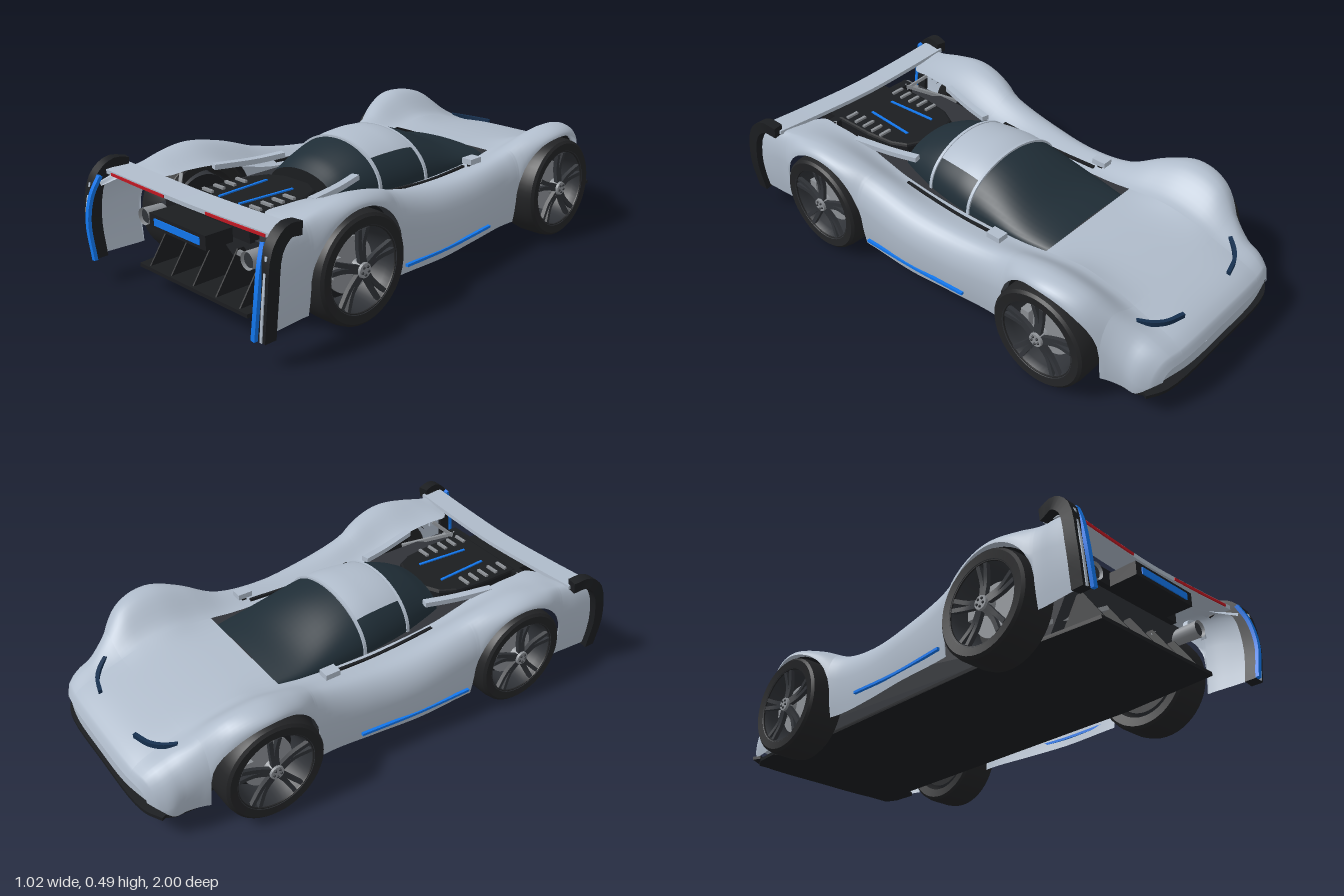
import * as THREE from 'three';
import { toCreasedNormals } from 'three/addons/utils/BufferGeometryUtils.js';

const mat = (color, side = THREE.FrontSide) => new THREE.MeshStandardMaterial({ color, side });
const PAINT = mat(0xb0bccb, THREE.DoubleSide);
const GLASS = mat(0x1f2d36, THREE.DoubleSide);
const BLACK = mat(0x1b1d20, THREE.DoubleSide);
const DARK = mat(0x303338, THREE.DoubleSide);
const RUBBER = mat(0x222325);
const METAL = mat(0x8b8f94, THREE.DoubleSide);
const BLUE = mat(0x1277ee);
const RED = mat(0xc01822);
const NAVY = mat(0x16304f);

const V = (p) => new THREE.Vector3(...p);

// Surface through rows of points
function loft(rows) {
  const n = rows[0].length, idx = [];
  for (let j = 0; j < rows.length - 1; j++) for (let i = 0; i < n - 1; i++) {
    const a = j * n + i, c = a + n;
    idx.push(a, a + 1, c, a + 1, c + 1, c);
  }
  const g = new THREE.BufferGeometry();
  g.setAttribute('position', new THREE.Float32BufferAttribute(rows.flat(2), 3));
  g.setIndex(idx);
  g.computeVertexNormals();
  return g;
}

// Rectangular bar along a smooth path; w is measured along ref, h across it
function bar(points, w, h, ref = [1, 0, 0], steps = 14) {
  const curve = new THREE.CatmullRomCurve3(points.map(V));
  const n = points.length > 2 ? steps : 1, rows = [];
  for (let j = 0; j <= n; j++) {
    const p = curve.getPoint(j / n), t = curve.getTangent(j / n);
    const s = V(ref).addScaledVector(t, -V(ref).dot(t)).normalize();
    const u = t.clone().cross(s);
    rows.push([[1, 1], [-1, 1], [-1, -1], [1, -1], [1, 1]].map(([a, b]) =>
      p.clone().addScaledVector(s, a * w / 2).addScaledVector(u, b * h / 2).toArray()));
  }
  const cap = (u) => Array(5).fill(curve.getPoint(u).toArray());
  return toCreasedNormals(loft([cap(0), ...rows, cap(1)]), 0.6);
}

// Smooth interpolation of table rows whose first entry is z
function sample(keys, z) {
  let k = 0;
  while (k < keys.length - 2 && z > keys[k + 1][0]) k++;
  const a = keys[k], b = keys[k + 1], p = keys[Math.max(k - 1, 0)], q = keys[Math.min(k + 2, keys.length - 1)];
  const d = b[0] - a[0], t = (z - a[0]) / d;
  return a.map((v, i) => {
    const m0 = (b[i] - p[i]) / (b[0] - p[0]) * d, m1 = (q[i] - v) / (q[0] - a[0]) * d;
    return v + t * m0 + t * t * (3 * (b[i] - v) - 2 * m0 - m1) + t * t * t * (2 * (v - b[i]) + m0 + m1);
  });
}

// Body stations: z, inner x, inner y, ridge x, ridge y, outer x, lower y
const BODY = [
  [-1, 0.24, 0.2, 0.28, 0.2, 0.33, 0.155], [-0.985, 0.24, 0.235, 0.295, 0.237, 0.365, 0.14],
  [-0.94, 0.24, 0.265, 0.305, 0.268, 0.392, 0.102], [-0.86, 0.24, 0.29, 0.315, 0.3, 0.398, 0.1],
  [-0.8, 0.24, 0.308, 0.35, 0.34, 0.415, 0.1], [-0.7, 0.24, 0.34, 0.395, 0.425, 0.467, 0.1],
  [-0.565, 0.24, 0.362, 0.41, 0.45, 0.485, 0.1], [-0.44, 0.245, 0.35, 0.395, 0.42, 0.46, 0.1],
  [-0.3, 0.25, 0.33, 0.365, 0.36, 0.43, 0.095], [-0.1, 0.255, 0.32, 0.36, 0.335, 0.44, 0.09],
  [0.1, 0.255, 0.32, 0.37, 0.345, 0.46, 0.09], [0.3, 0.25, 0.33, 0.38, 0.385, 0.465, 0.095],
  [0.42, 0.25, 0.355, 0.405, 0.425, 0.475, 0.1], [0.565, 0.255, 0.395, 0.425, 0.45, 0.485, 0.1],
  [0.7, 0.26, 0.405, 0.43, 0.435, 0.485, 0.1], [0.79, 0.27, 0.402, 0.43, 0.415, 0.475, 0.1],
  [0.86, 0.4, 0.39, 0.44, 0.405, 0.478, 0.1], [0.94, 0.45, 0.36, 0.46, 0.375, 0.48, 0.1]];
const AXLES = [-0.565, 0.56], AXLE_Y = 0.2, ARCH = 0.215;
const noseZ = (x, z) => z + 0.04 * Math.min(1, Math.max(0, (-0.85 - z) / 0.15)) * (x / 0.38) ** 4;

// Shared cross-section positions, dense at the nose and at the arch edges
const STATIONS = [-0.997, -0.992, -0.986, ...[...Array(98).keys()].map((i) => -1 + i * 0.02)];
for (const c of AXLES) for (const e of [-1, 1]) for (const d of [-0.001, 0, 0.008]) STATIONS.push(c + e * (ARCH - d));
STATIONS.sort((a, b) => a - b);

// One body side with both wheel arches cut into its lower edge
function fender(s) {
  return loft(STATIONS.map((z) => {
    let [, xi, yi, xr, top, xo, yb] = sample(BODY, z);
    for (const c of AXLES) {
      const d = ARCH ** 2 - (z - c) ** 2;
      if (d >= -1e-9) yb = Math.min(AXLE_Y + Math.sqrt(Math.max(d, 0)), top - 0.02);
    }
    const ym = Math.max(yb, top - 0.12), pts = [];
    for (let i = 0; i <= 8; i++) {
      const t = i / 8;
      pts.push([xi + (xr - xi) * t, yi + (top - yi) * t * t * (3 - 2 * t)]);
    }
    for (let i = 1; i <= 8; i++) {
      const a = i * Math.PI / 16;
      pts.push([xr + (xo - xr) * Math.sin(a), ym + (top - ym) * Math.cos(a)]);
    }
    for (let i = 1; i <= 4; i++) pts.push([xo - 0.1 * (ym - yb) * (i / 4) ** 2, ym + (yb - ym) * i / 4]);
    const row = pts.map(([x, y]) => [s * x, y, noseZ(x, z)]);
    return s > 0 ? row.reverse() : row;
  }));
}

// Hood between the fenders; table gives the centre-line height
const HOOD = [[-1, 0.203], [-0.985, 0.24], [-0.94, 0.272], [-0.86, 0.297], [-0.7, 0.325], [-0.55, 0.34], [-0.38, 0.345]];
function hood() {
  return loft(STATIONS.filter((z) => z < -0.38).map((z) => {
    const [, xi, yi] = sample(BODY, z), mid = sample(HOOD, z)[1];
    return [...Array(17).keys()].map((i) => {
      const u = 1 - i / 8;
      return [u * xi, mid + (yi - mid) * u ** 4, noseZ(u * xi, z)];
    });
  }));
}

// Wheel-well lining over a tyre, from angle a0 (0 = towards the tail) forwards
function archLiner(s, zc, a0) {
  return loft([...Array(21).keys()].map((i) => {
    const a = a0 + (Math.PI - a0) * i / 20;
    return [0.34, 0.462].map((x) => [s * Math.min(x, x > 0.4 ? 0.462 - 0.06 * Math.cos(a) ** 2 : x),
      AXLE_Y + 0.212 * Math.sin(a), zc + 0.212 * Math.cos(a)]);
  }));
}

// Canopy stations: z, half width, crown y
const CANOPY = [[-0.4, 0.222, 0.352], [-0.26, 0.243, 0.385], [-0.1, 0.248, 0.452], [0, 0.247, 0.48],
  [0.07, 0.242, 0.486], [0.2, 0.222, 0.474], [0.32, 0.19, 0.435], [0.39, 0.168, 0.395]];
const canopyPoint = (z, a, lift = 0) => {
  const [, w, top] = sample(CANOPY, z);
  return [(w + lift) * Math.cos(a), 0.315 + (top - 0.315 + lift) * Math.sin(a), z];
};
function canopy(z0, z1, a0, a1, lift = 0) {
  return loft([...Array(17).keys()].map((j) => [...Array(25).keys()].map((i) =>
    canopyPoint(z0 + (z1 - z0) * j / 16, a0 + (a1 - a0) * i / 24, lift))));
}

// Flat outline pushed out along its third axis
function plate(outline, depth, bevel = 0) {
  return new THREE.ExtrudeGeometry(new THREE.Shape(outline.map((p) => new THREE.Vector2(...p))),
    { depth, bevelEnabled: bevel > 0, bevelSize: bevel, bevelThickness: bevel, bevelSegments: 2 });
}
const mirrored = (half) => [...half, ...half.map(([x, z]) => [-x, z]).reverse()];

function wheel() {
  const g = new THREE.Group();
  const put = (geo, m, name) => { const o = new THREE.Mesh(geo, m); o.name = name; g.add(o); return o; };
  const lathe = (pts) => new THREE.LatheGeometry(pts.map((p) => new THREE.Vector2(...p)), 48).rotateZ(-Math.PI / 2);
  put(toCreasedNormals(lathe([[0.15, -0.07], [0.185, -0.075], [0.195, -0.066], [0.2, -0.04], [0.2, 0.04],
    [0.195, 0.066], [0.185, 0.075], [0.15, 0.07], [0.145, 0.05], [0.145, -0.05], [0.15, -0.07]]), 0.5), RUBBER, 'tyre');
  put(lathe([[0.13, -0.06], [0.138, 0.04], [0.15, 0.068], [0.155, 0.072]]), DARK, 'rim');
  put(new THREE.CylinderGeometry(0.1, 0.1, 0.012, 40).rotateZ(Math.PI / 2), METAL, 'brakeDisc');
  put(new THREE.CylinderGeometry(0.13, 0.13, 0.01, 40).rotateZ(Math.PI / 2).translate(-0.05, 0, 0), BLACK, 'innerRim');
  put(new THREE.BoxGeometry(0.04, 0.07, 0.035).translate(0.012, 0.02, 0.085), METAL, 'caliper');
  for (let i = 0; i < 5; i++) for (const e of [-1, 1])
    put(bar([[0.06, 0.02, e * 0.007], [0.052, 0.08, e * 0.009], [0.062, 0.147, e * 0.018]], 0.016, 0.016, [1, 0, 0], 6),
      DARK, 'spoke').rotation.x = i * Math.PI * 0.4;
  put(new THREE.CylinderGeometry(0.026, 0.034, 0.04, 20).rotateZ(-Math.PI / 2).translate(0.056, 0, 0), METAL, 'hub');
  for (let i = 0; i < 5; i++) {
    const a = i * Math.PI * 0.4 + 0.6;
    put(new THREE.SphereGeometry(0.005, 8, 6).translate(0.077, 0.015 * Math.cos(a), 0.015 * Math.sin(a)), DARK, 'wheelNut');
  }
  return g;
}

export function createModel() {
  const car = new THREE.Group();
  car.name = 'sportsCar';
  const add = (name, geo, m) => { const o = new THREE.Mesh(geo, m); o.name = name; car.add(o); };
  const box = (name, m, w, h, d, x, y, z) => add(name, new THREE.BoxGeometry(w, h, d).translate(x, y, z), m);

  // Straight flat floor and inner tub
  add('floor', plate(mirrored([[0.35, -0.95], [0.375, -0.9], [0.38, -0.8], [0.335, -0.77], [0.335, 0.5], [0.3, 0.9]]), 0.014)
    .rotateX(Math.PI / 2).translate(0, 0.095, 0), BLACK);
  add('innerTub', plate([[-0.93, 0.095], [-0.93, 0.2], [-0.8, 0.25], [-0.4, 0.3], [0.8, 0.3], [0.68, 0.095]], 0.6)
    .rotateY(-Math.PI / 2).translate(0.3, 0, 0), DARK);

  // Nose, splitter and hood
  add('hood', hood(), PAINT);
  add('noseLip', bar([[-0.325, 0.178, -0.95], [-0.2, 0.178, -0.973], [0, 0.178, -0.977], [0.2, 0.178, -0.973],
    [0.325, 0.178, -0.95]], 0.044, 0.046, [0, 0, 1], 24), PAINT);
  add('splitter', bar([[-0.375, 0.106, -0.935], [-0.3, 0.106, -0.97], [0, 0.106, -0.98], [0.3, 0.106, -0.97],
    [0.375, 0.106, -0.935]], 0.036, 0.014, [0, 0, 1], 24), BLACK);

  // Canopy
  const H = Math.PI, A = 0.76;
  add('windshield', canopy(-0.4, -0.02, 0, H), GLASS);
  add('roof', canopy(-0.02, 0.2, A, H - A, 0.003), PAINT);
  add('sideWindow', canopy(-0.02, 0.2, 0, A), GLASS);
  add('sideWindow', canopy(-0.02, 0.2, H - A, H), GLASS);
  add('rearWindow', canopy(0.2, 0.39, 0, H), GLASS);
  for (const z of [-0.02, 0.2])
    add('roofHoop', bar([...Array(13).keys()].map((i) => canopyPoint(z, H * i / 12, 0.003)), 0.012, 0.008, [0, 0, 1], 30), PAINT);
  add('rearBulkhead', loft([[...Array(17).keys()].map((i) => canopyPoint(0.39, H * i / 16)), Array(17).fill([0, 0.3, 0.39])]), BLACK);

  // Engine cover
  add('engineCover', plate(mirrored([[0.06, 0.41], [0.12, 0.44], [0.15, 0.5], [0.165, 0.62], [0.165, 0.79]]), 0.04, 0.01)
    .rotateX(Math.PI / 2).translate(0, 0.35, 0), BLACK);
  box('rearFascia', BLACK, 0.46, 0.06, 0.04, 0, 0.325, 0.8);
  box('lightHousing', BLACK, 0.31, 0.052, 0.11, 0, 0.31, 0.885);
  box('rearLight', BLUE, 0.25, 0.026, 0.012, 0, 0.31, 0.938);

  // Diffuser fins
  for (let i = -2; i <= 2; i++)
    add('diffuserFin', plate([[0.67, 0.095], [0.89, 0.095], [0.79, 0.24], [0.75, 0.24]], 0.006)
      .rotateY(-Math.PI / 2).translate(i * 0.125 + 0.003, 0, 0), BLACK);

  // Rear wing
  add('rearWing', bar([[-0.455, 0.41, 0.862], [-0.25, 0.402, 0.856], [0, 0.396, 0.852], [0.25, 0.402, 0.856], [0.455, 0.41, 0.862]],
    0.1, 0.016, [0, -0.05, 1], 30), PAINT);

  for (const s of [1, -1]) {
    const strip = (name, m, pts, w, h, ref) => add(name, bar(pts.map(([x, y, z]) => [s * x, y, z]), w, h, ref), m);
    add('bodySide', fender(s), PAINT);
    AXLES.forEach((z, i) => {
      const w = wheel();
      w.name = i ? 'rearWheel' : 'frontWheel';
      w.position.set(s * 0.422, AXLE_Y, z);
      if (s < 0) w.rotation.y = Math.PI;
      car.add(w);
      add('archLiner', archLiner(s, z, i ? 0.6 : 0), BLACK);
    });
    strip('rearArchLip', PAINT, [[0.465, 0.33, 0.78], [0.447, 0.365, 0.78], [0.4, 0.375, 0.78], [0.358, 0.36, 0.78],
      [0.348, 0.32, 0.78]], 0.02, 0.01, [0, 0, 1]);

    // Lights and accents
    strip('headlight', NAVY, [[0.14, 0.287, -0.915], [0.21, 0.291, -0.895], [0.255, 0.298, -0.865], [0.29, 0.308, -0.825]], 0.018, 0.014, [0, 1, 0]);
    strip('sideAccent', BLUE, [[0.443, 0.135, -0.17], [0.452, 0.125, 0.08], [0.463, 0.132, 0.32]], 0.012, 0.01, [1, 0, 0]);
    strip('tailLight', RED, [[0.115, 0.394, 0.903], [0.27, 0.398, 0.907], [0.42, 0.404, 0.911]], 0.01, 0.008, [0, 1, 0]);
    strip('coverAccent', BLUE, [[0.07, 0.362, 0.49], [0.055, 0.362, 0.72]], 0.01, 0.006, [1, 0, 0]);
    for (let i = 0; i < 5; i++) box('louvre', METAL, 0.055, 0.012, 0.012, s * 0.13, 0.363, 0.56 + i * 0.05);

    // Shoulder slot, mirror and flying buttress
    strip('shoulderSlot', BLACK, [[0.285, 0.33, -0.2], [0.285, 0.322, 0], [0.28, 0.335, 0.27]], 0.012, 0.012, [1, 0, 0]);
    box('mirror', PAINT, 0.045, 0.022, 0.06, s * 0.308, 0.358, -0.22);
    box('mirrorStalk', BLACK, 0.014, 0.03, 0.02, s * 0.303, 0.34, -0.22);
    strip('buttress', PAINT, [[0.195, 0.39, 0.3], [0.225, 0.385, 0.42], [0.265, 0.39, 0.58]], 0.03, 0.02, [1, 0, 0]);

    // Tail blade with painted seam and accent line
    strip('tailBlade', BLACK, [[0.462, 0.42, 0.82], [0.473, 0.427, 0.88], [0.481, 0.38, 0.935], [0.486, 0.24, 0.962], [0.467, 0.09, 0.962]], 0.042, 0.046, [1, 0, 0]);
    strip('bladeSeam', PAINT, [[0.484, 0.37, 0.963], [0.489, 0.24, 0.986], [0.471, 0.09, 0.986]], 0.01, 0.006, [1, 0, 0]);
    strip('bladeAccent', BLUE, [[0.448, 0.4, 0.943], [0.463, 0.33, 0.974], [0.468, 0.23, 0.993], [0.446, 0.09, 0.993]], 0.018, 0.014, [1, 0, 0]);

    // Exhaust, suspension arms and wing stay
    add('exhaust', new THREE.CylinderGeometry(0.032, 0.028, 0.14, 24, 1, true).rotateX(Math.PI / 2).translate(s * 0.285, 0.27, 0.81), METAL);
    add('exhaustCore', new THREE.CylinderGeometry(0.026, 0.026, 0.12, 24).rotateX(Math.PI / 2).translate(s * 0.285, 0.27, 0.81), DARK);
    strip('lowerArm', METAL, [[0.125, 0.228, 0.79], [0.35, 0.125, 0.66]], 0.016, 0.016, [0, 1, 0]);
    strip('upperArm', METAL, [[0.2, 0.35, 0.79], [0.35, 0.27, 0.62]], 0.014, 0.014, [0, 1, 0]);
    strip('wingStay', METAL, [[0.2, 0.33, 0.79], [0.27, 0.395, 0.72]], 0.012, 0.012, [0, 1, 0]);
  }
  return car;
}
